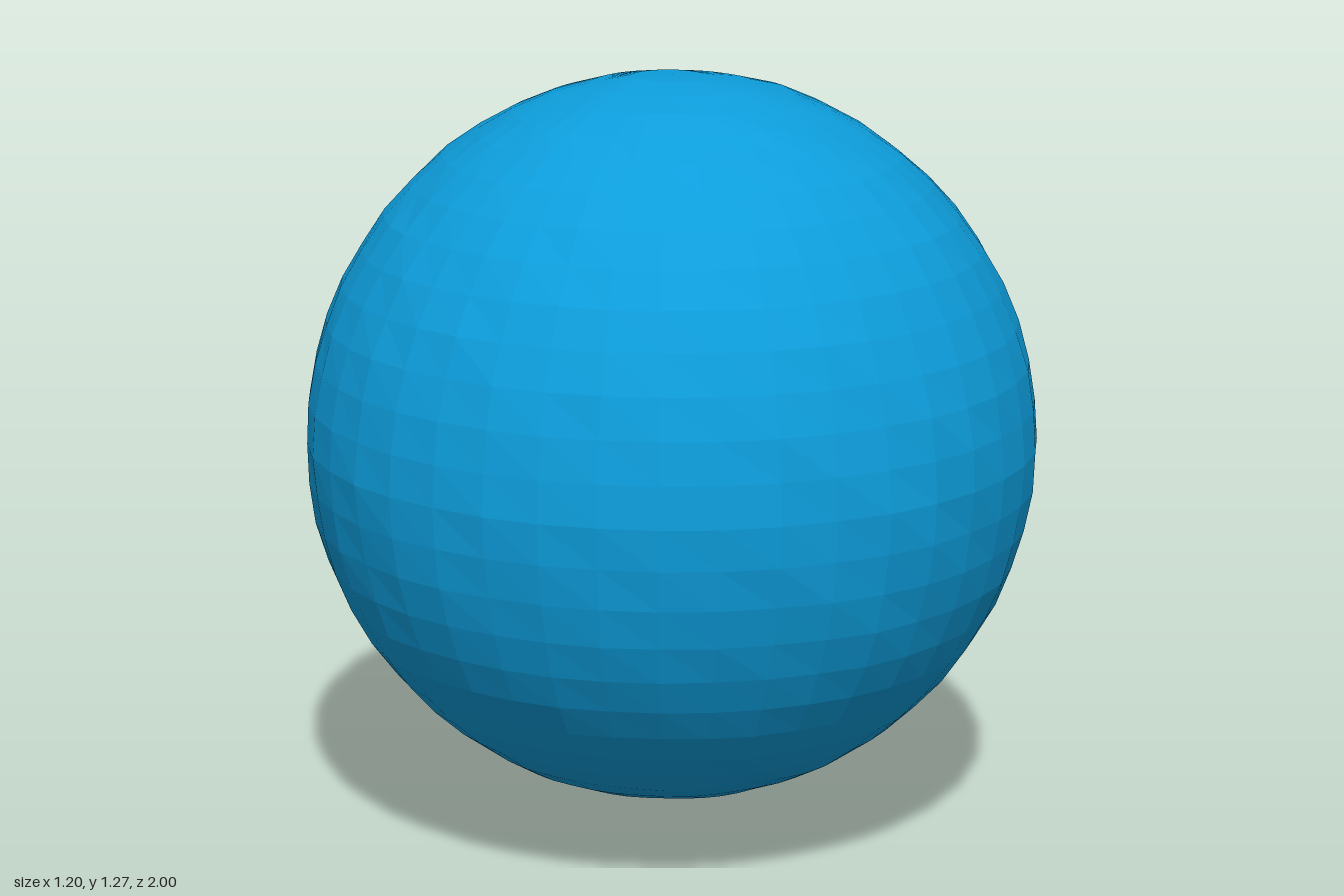
import * as THREE from 'three';

const mat = (color) => new THREE.MeshStandardMaterial({ color, flatShading: true, side: THREE.DoubleSide });
const blue = mat(0x0d9ddb), black = mat(0x111111), grey = mat(0xaaaaaa), darkGrey = mat(0x777777);

// Side profile given as [z, y] points, extruded symmetrically across x
function plate(name, points, halfWidth, material, bevel = 0) {
  const shape = new THREE.Shape(points.map(([z, y]) => new THREE.Vector2(z, y)));
  const depth = 2 * (halfWidth - bevel);
  const geo = new THREE.ExtrudeGeometry(shape, {
    depth, bevelEnabled: bevel > 0, bevelSize: bevel, bevelOffset: -bevel, bevelThickness: bevel, bevelSegments: 2,
  });
  geo.translate(0, 0, -depth / 2).rotateY(-Math.PI / 2);
  const mesh = new THREE.Mesh(geo, material);
  mesh.name = name;
  return mesh;
}

// Loft of rounded-rectangle sections [z, halfWidth, bottom, top, squareness], running towards -z
function loft(sections, sides) {
  const pos = [], index = [];
  for (const [z, w, y0, y1, n] of sections) {
    for (let i = 0; i < sides; i++) {
      const a = (i / sides) * Math.PI * 2, c = Math.cos(a), s = Math.sin(a);
      pos.push(w * Math.sign(c) * Math.abs(c) ** (2 / n), (y0 + y1) / 2 + ((y1 - y0) / 2) * Math.sign(s) * Math.abs(s) ** (2 / n), z);
    }
  }
  for (let r = 0; r < sections.length - 1; r++) {
    for (let i = 0; i < sides; i++) {
      const a = r * sides + i, b = r * sides + ((i + 1) % sides);
      index.push(a, a + sides, b, b, a + sides, b + sides);
    }
  }
  const last = (sections.length - 1) * sides;
  for (let i = 1; i < sides - 1; i++) index.push(last, last + i + 1, last + i);
  const geo = new THREE.BufferGeometry();
  geo.setAttribute('position', new THREE.Float32BufferAttribute(pos, 3));
  geo.setIndex(index);
  geo.computeVertexNormals();
  return geo;
}

export function createModel() {
  const model = new THREE.Group();

  // Faceted ball with a slightly uneven surface
  const ballGeo = new THREE.SphereGeometry(0.6, 40, 28);
  const p = ballGeo.attributes.position, v = new THREE.Vector3();
  for (let i = 0; i < p.count; i++) {
    v.fromBufferAttribute(p, i);
    const wave = Math.sin(v.x * 23 + v.y * 11) * Math.sin(v.y * 19 - v.z * 13) * Math.cos(v.z * 21 + v.x * 7);
    const ridge = Math.abs(v.y) < 0.01 ? 0.002 : 0;
    v.multiplyScalar(0.995 + 0.005 * wave + ridge);
    p.setXYZ(i, v.x, v.y, v.z);
  }
  ballGeo.computeVertexNormals();
  const ball = new THREE.Mesh(ballGeo, blue);
  ball.name = 'ball';
  ball.position.set(0, 0.67, 0.4);
  model.add(ball);

  // Neck flaring out of the ball, squared off at the back
  const neck = new THREE.Mesh(loft([
    [0.02, 0.45, 0.23, 1.11, 2],
    [-0.08, 0.355, 0.33, 1.0, 2.05],
    [-0.13, 0.29, 0.42, 0.91, 2.2],
    [-0.16, 0.262, 0.48, 0.86, 2.5],
    [-0.2, 0.235, 0.535, 0.815, 3],
    [-0.25, 0.2, 0.545, 0.8, 3.5],
    [-0.3, 0.175, 0.55, 0.795, 3.5],
    [-0.33, 0.15, 0.565, 0.775, 3.5],
    [-0.345, 0.1, 0.575, 0.74, 3],
    [-0.37, 0.06, 0.56, 0.67, 3],
    [-0.42, 0.045, 0.53, 0.61, 3],
  ], 32), blue);
  neck.name = 'neck';
  model.add(neck);

  // Small slits on the shoulders of the neck
  for (const side of [-1, 1]) {
    const slit = new THREE.Mesh(new THREE.BoxGeometry(0.012, 0.012, 0.07), grey);
    slit.name = side > 0 ? 'leftSlit' : 'rightSlit';
    slit.position.set(side * 0.15, 0.785, -0.275);
    slit.rotation.y = side * 0.6;
    model.add(slit);
  }

  // Sloping handle: blue spine above, black grip below
  model.add(plate('handleSpine', [
    [-0.35, 0.67], [-0.4, 0.6], [-0.44, 0.595], [-0.47, 0.56], [-0.62, 0.43], [-0.82, 0.22], [-0.91, 0.16],
    [-1.0, 0.07], [-0.94, 0.01], [-0.9, 0], [-0.87, 0.02], [-0.82, 0.08], [-0.74, 0.16], [-0.37, 0.54],
  ], 0.047, blue, 0.012));
  model.add(plate('handleGrip', [
    [-0.34, 0.565], [-0.39, 0.57], [-0.45, 0.515], [-0.51, 0.47], [-0.56, 0.4], [-0.61, 0.36], [-0.7, 0.26],
    [-0.78, 0.19], [-0.86, 0.08], [-0.84, 0.05], [-0.72, 0.145], [-0.42, 0.465],
  ], 0.051, black));
  model.add(plate('handleEnd', [
    [-0.85, 0.16], [-0.92, 0.16], [-1.0, 0.07], [-0.94, 0.01], [-0.9, 0], [-0.86, 0.03],
  ], 0.056, blue, 0.012));

  // Collar at the top of the handle
  model.add(plate('collar', [[-0.355, 0.51], [-0.37, 0.49], [-0.445, 0.57], [-0.43, 0.587]], 0.056, grey));

  // Ribbed bands across the lower end
  model.add(plate('bandBacking', [[-0.72, 0.14], [-0.785, 0.21], [-0.87, 0.12], [-0.83, 0.035]], 0.054, black));
  for (let i = 0; i < 4; i++) {
    const z = -0.715 - i * 0.033, y = 0.145 - i * 0.034, l = 0.078 - i * 0.006;
    model.add(plate('band' + (i + 1), [
      [z, y], [z - 0.017, y - 0.018], [z - 0.017 - l, y - 0.018 + l], [z - l, y + l],
    ], 0.059, i % 2 ? darkGrey : grey));
  }

  // Trigger guard and trigger
  model.add(plate('guardFront', [[-0.395, 0.49], [-0.36, 0.285], [-0.41, 0.28], [-0.425, 0.46]], 0.025, grey));
  model.add(plate('guardBottom', [[-0.4, 0.285], [-0.42, 0.33], [-0.5, 0.315], [-0.6, 0.295], [-0.59, 0.28]], 0.025, grey));
  model.add(plate('trigger', [[-0.43, 0.47], [-0.435, 0.3], [-0.445, 0.26], [-0.47, 0.28], [-0.6, 0.285]], 0.018, blue));

  return model;
}
